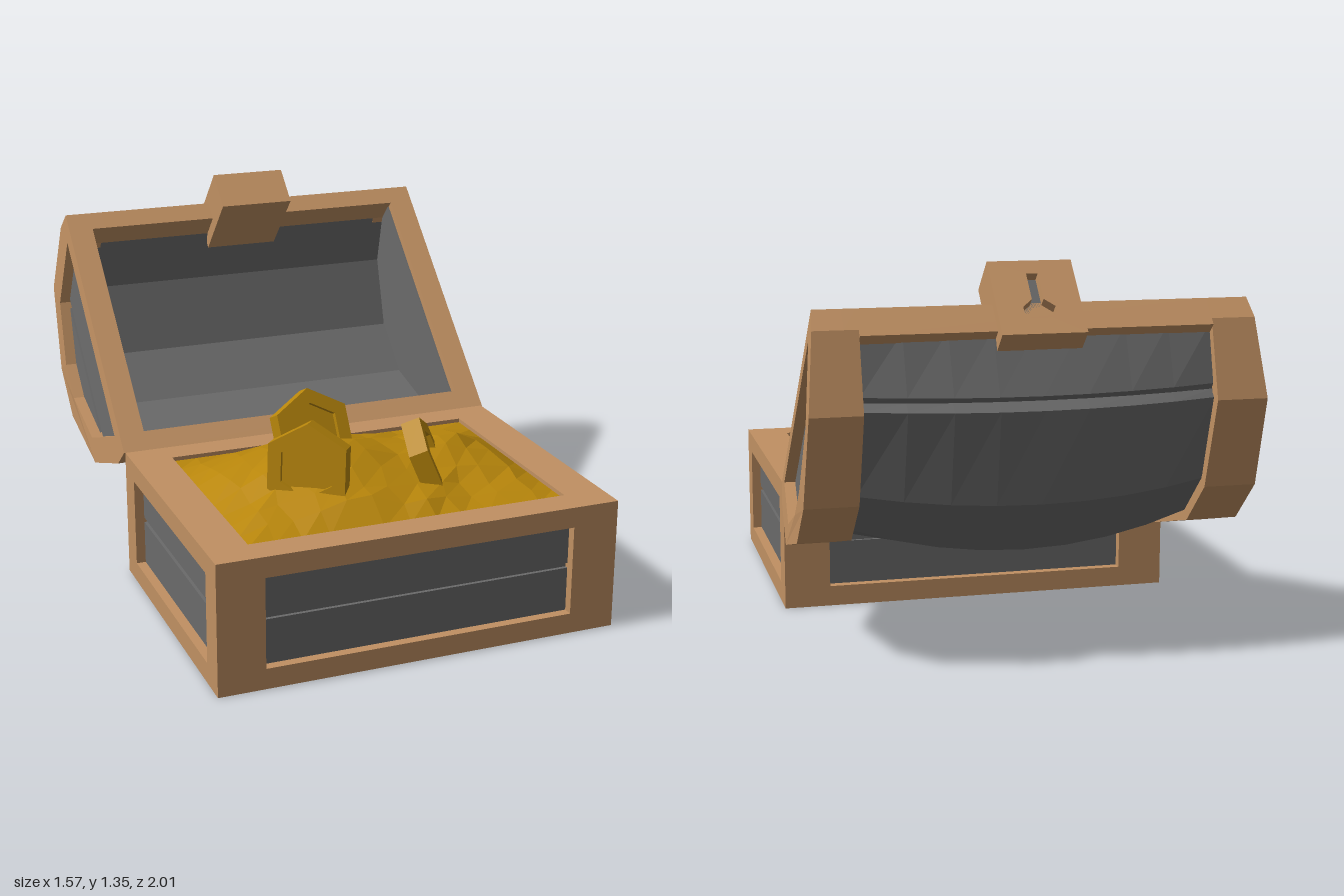
import * as THREE from 'three';

const mat = (color, side = THREE.FrontSide) =>
  new THREE.MeshStandardMaterial({ color, side, flatShading: true });
const wood = mat(0xc09062);
const iron = mat(0x6a6a6a);
const ironSheet = mat(0x6a6a6a, THREE.DoubleSide);
const gold = mat(0xb8860b);
const goldSheet = mat(0xb8860b, THREE.DoubleSide);

function add(parent, name, geometry, material) {
  const m = new THREE.Mesh(geometry, material);
  m.name = name;
  parent.add(m);
  return m;
}

// Box given by its minimum and maximum on each axis
function block(x0, x1, y0, y1, z0, z1) {
  return new THREE.BoxGeometry(x1 - x0, y1 - y0, z1 - z0)
    .translate((x0 + x1) / 2, (y0 + y1) / 2, (z0 + z1) / 2);
}

const toShape = (pts) => new THREE.Shape(pts.map(([x, y]) => new THREE.Vector2(x, y)));
const rect = (x0, x1, y0, y1) => [[x0, y0], [x1, y0], [x1, y1], [x0, y1]];

function extrude(outline, hole, depth) {
  const s = toShape(outline);
  if (hole) s.holes.push(toShape(hole));
  return new THREE.ExtrudeGeometry(s, { depth, bevelEnabled: false });
}

// Sheet through rows of points
function sheet(rows) {
  const pos = [], idx = [], n = rows[0].length;
  rows.forEach((row) => row.forEach((p) => pos.push(...p)));
  for (let i = 0; i < rows.length - 1; i++) {
    for (let j = 0; j < n - 1; j++) {
      const a = i * n + j;
      idx.push(a, a + 1, a + n, a + 1, a + n + 1, a + n);
    }
  }
  const g = new THREE.BufferGeometry();
  g.setAttribute('position', new THREE.Float32BufferAttribute(pos, 3));
  g.setIndex(idx);
  g.computeVertexNormals();
  return g;
}

function makeBase() {
  const base = new THREE.Group();
  base.name = 'base';
  // Framed walls
  const long = extrude(rect(-0.74, 0.74, 0, 0.44), rect(-0.57, 0.57, 0.075, 0.405), 0.05);
  add(base, 'frontFrame', long.clone().translate(0, 0, 0.95), wood);
  add(base, 'backFrame', long.clone().translate(0, 0, -0.08), wood);
  const short = extrude(rect(-0.95, 0.03, 0, 0.44), rect(-0.89, -0.03, 0.075, 0.405), 0.05)
    .rotateY(Math.PI / 2);
  add(base, 'leftFrame', short.clone().translate(0.69, 0, 0), wood);
  add(base, 'rightFrame', short.clone().translate(-0.74, 0, 0), wood);
  // Top rim with the opening, and the floor
  const rim = extrude(rect(-0.74, 0.74, -1, 0.08), rect(-0.59, 0.59, -0.885, -0.03), 0.04)
    .rotateX(-Math.PI / 2).translate(0, 0.44, 0);
  add(base, 'rim', rim, wood);
  add(base, 'floor', block(-0.69, 0.69, 0, 0.04, -0.03, 0.95), wood);
  // Two iron planks all round with a groove between them
  add(base, 'lowerPlank', block(-0.705, 0.705, 0.05, 0.238, -0.045, 0.965), iron);
  add(base, 'upperPlank', block(-0.705, 0.705, 0.256, 0.43, -0.045, 0.965), iron);
  add(base, 'plankGroove', block(-0.692, 0.692, 0.22, 0.27, -0.032, 0.952), iron);
  return base;
}

// Lid frame: u runs across the rim from the hinge (local y), v is depth (local -z)
function makeLid() {
  const lid = new THREE.Group();
  lid.name = 'lid';
  lid.position.set(0, 0.48, -0.08);
  lid.rotation.x = -0.811;

  // Profiles as [v, u]
  const arch = [[0, 0], [0.085, 0], [0.33, 0.13], [0.49, 0.425], [0.49, 0.65],
    [0.33, 0.945], [0.085, 1.075], [0, 1.075]];
  const cavity = [[0, 1], [0.11, 1], [0.305, 0.91], [0.445, 0.66], [0.445, 0.415],
    [0.305, 0.17], [0.11, 0.08], [0, 0.08]];
  const windowPts = [[0.055, 0.1], [0.3, 0.225], [0.4, 0.46], [0.4, 0.615],
    [0.3, 0.85], [0.055, 0.98]];
  const backing = [[0.03, 0.04], [0.1, 0.04], [0.32, 0.16], [0.46, 0.43], [0.46, 0.645],
    [0.32, 0.915], [0.1, 1.035], [0.03, 1.035]];
  const lowPlank = [[0.04, 0.06], [0.29, 0.19], [0.29, 0.885], [0.04, 1.015]];
  const highPlank = [[0.31, 0.2], [0.43, 0.45], [0.43, 0.625], [0.31, 0.875]];

  // Slab of a profile between |x| = x0 and x1, leaning outwards with depth
  const slab = (outline, hole, x0, x1, side) => {
    const g = extrude(outline, hole, x1 - x0).rotateY(Math.PI / 2)
      .translate(side > 0 ? x0 : -x1, 0, 0);
    const p = g.attributes.position;
    for (let i = 0; i < p.count; i++) {
      if (Math.abs(p.getX(i)) > 0.68) {
        p.setX(i, p.getX(i) + side * Math.min(0.04, -p.getZ(i) * 0.1));
      }
    }
    return g;
  };

  for (const side of [1, -1]) {
    const s = side > 0 ? 'left' : 'right';
    add(lid, s + 'EndFrame', slab(arch, windowPts, 0.65, 0.745, side), wood);
    add(lid, s + 'ArchBand', slab([...arch, ...cavity], null, 0.6, 0.65, side), wood);
    add(lid, s + 'EndPanel', slab(backing, null, 0.645, 0.69, side), iron);
    add(lid, s + 'EndLowPlank', slab(lowPlank, null, 0.66, 0.705, side), iron);
    add(lid, s + 'EndHighPlank', slab(highPlank, null, 0.66, 0.705, side), iron);
  }

  // Rails along the hinge and along the free edge
  add(lid, 'hingeRail', block(-0.6, 0.6, 0, 0.08, -0.11, 0), wood);
  add(lid, 'edgeRail', block(-0.6, 0.6, 1, 1.075, -0.11, 0), wood);

  // Barrelled roof: half profiles [u, v] at the ends and at the middle, mirrored
  const endHalf = [[0.03, 0.08], [0.13, 0.26], [0.155, 0.265], [0.155, 0.3], [0.43, 0.45]];
  const midHalf = [[0.03, 0.08], [0.105, 0.3], [0.13, 0.3], [0.125, 0.345], [0.385, 0.545]];
  const whole = (h) => [...h, ...h.map(([u, v]) => [1.075 - u, v]).reverse()];
  const endP = whole(endHalf), midP = whole(midHalf);
  const rows = [];
  for (let i = 0; i <= 8; i++) {
    const t = i / 4 - 1, k = 1 - t * t;
    rows.push(endP.map(([u, v], j) =>
      [t * 0.605, u + (midP[j][0] - u) * k, -(v + (midP[j][1] - v) * k)]));
  }
  add(lid, 'roof', sheet(rows), ironSheet);

  // Lining of the hollow
  const lining = [[0.075, 0.105], [0.18, 0.29], [0.42, 0.43], [0.655, 0.43], [0.9, 0.29], [1.005, 0.105]];
  add(lid, 'lining', sheet([-0.648, 0.648].map((x) => lining.map(([u, v]) => [x, u, -v]))), ironSheet);

  // Lock with a sunken keyhole
  const lock = new THREE.Group();
  lock.name = 'lock';
  lid.add(lock);
  add(lock, 'lockBody', block(-0.145, 0.145, 0.955, 1.07, -0.15, 0.15), wood);
  const keyhole = [[-0.02, -0.095], [0.02, -0.095], [0.02, 0.01], [0.055, 0.04], [0.055, 0.06],
    [0.035, 0.085], [-0.035, 0.085], [-0.055, 0.06], [-0.055, 0.04], [-0.02, 0.01]];
  add(lock, 'lockPlate', extrude(rect(-0.145, 0.145, -0.15, 0.15), keyhole, 0.04)
    .rotateX(-Math.PI / 2).translate(0, 1.07, 0), wood);
  add(lock, 'keyholeBack', block(-0.07, 0.07, 1.05, 1.075, -0.11, 0.11), iron);
  return lid;
}

function makeTreasure() {
  const treasure = new THREE.Group();
  treasure.name = 'treasure';
  // Lumpy heap
  let seed = 7;
  const rand = () => (seed = (seed * 16807) % 2147483647) / 2147483647 - 0.5;
  const bump = (x, z, cx, cz, r) => Math.exp(-((x - cx) ** 2 + (z - cz) ** 2) / (r * r));
  const nx = 12, nz = 9, rows = [];
  for (let i = 0; i <= nx; i++) {
    const row = [];
    for (let j = 0; j <= nz; j++) {
      const edge = i === 0 || j === 0 || i === nx || j === nz;
      const x = -0.592 + (1.184 * i) / nx + (edge ? 0 : rand() * 0.04);
      const z = 0.028 + (0.86 * j) / nz + (edge ? 0 : rand() * 0.04);
      const y = edge ? 0.465 : 0.475 + rand() * 0.02 + 0.15 * bump(x, z, -0.13, 0.46, 0.32)
        + 0.09 * bump(x, z, 0.37, 0.42, 0.19);
      row.push([x, y, z]);
    }
    rows.push(row);
  }
  add(treasure, 'goldHeap', sheet(rows), goldSheet);

  // Six-sided coins with raised rims, half sunk in the heap
  const hex = (r) => Array.from({ length: 6 }, (_, i) => {
    const a = Math.PI / 2 + (i * Math.PI) / 3;
    return [r * Math.cos(a), r * Math.sin(a)];
  });
  const coinRim = extrude(hex(0.16), hex(0.105), 0.07).translate(0, 0, -0.035);
  const coinFace = extrude(hex(0.11), null, 0.03).translate(0, 0, -0.015);
  const coins = [
    [[-0.28, 0.62, 0.64], [-0.12, -0.62]],
    [[-0.13, 0.605, 0.28], [-0.45, 0.1]],
    [[0.2, 0.555, 0.57], [-0.4, 1.15]],
  ];
  for (const [at, [tilt, turn]] of coins) {
    const coin = new THREE.Group();
    coin.name = 'coin';
    coin.position.set(...at);
    coin.rotation.set(tilt, turn, 0, 'YXZ');
    add(coin, 'coinRim', coinRim, gold);
    add(coin, 'coinFace', coinFace, gold);
    treasure.add(coin);
  }
  return treasure;
}

export function createModel() {
  const chest = new THREE.Group();
  chest.name = 'treasureChest';
  chest.add(makeBase(), makeLid(), makeTreasure());
  return chest;
}
